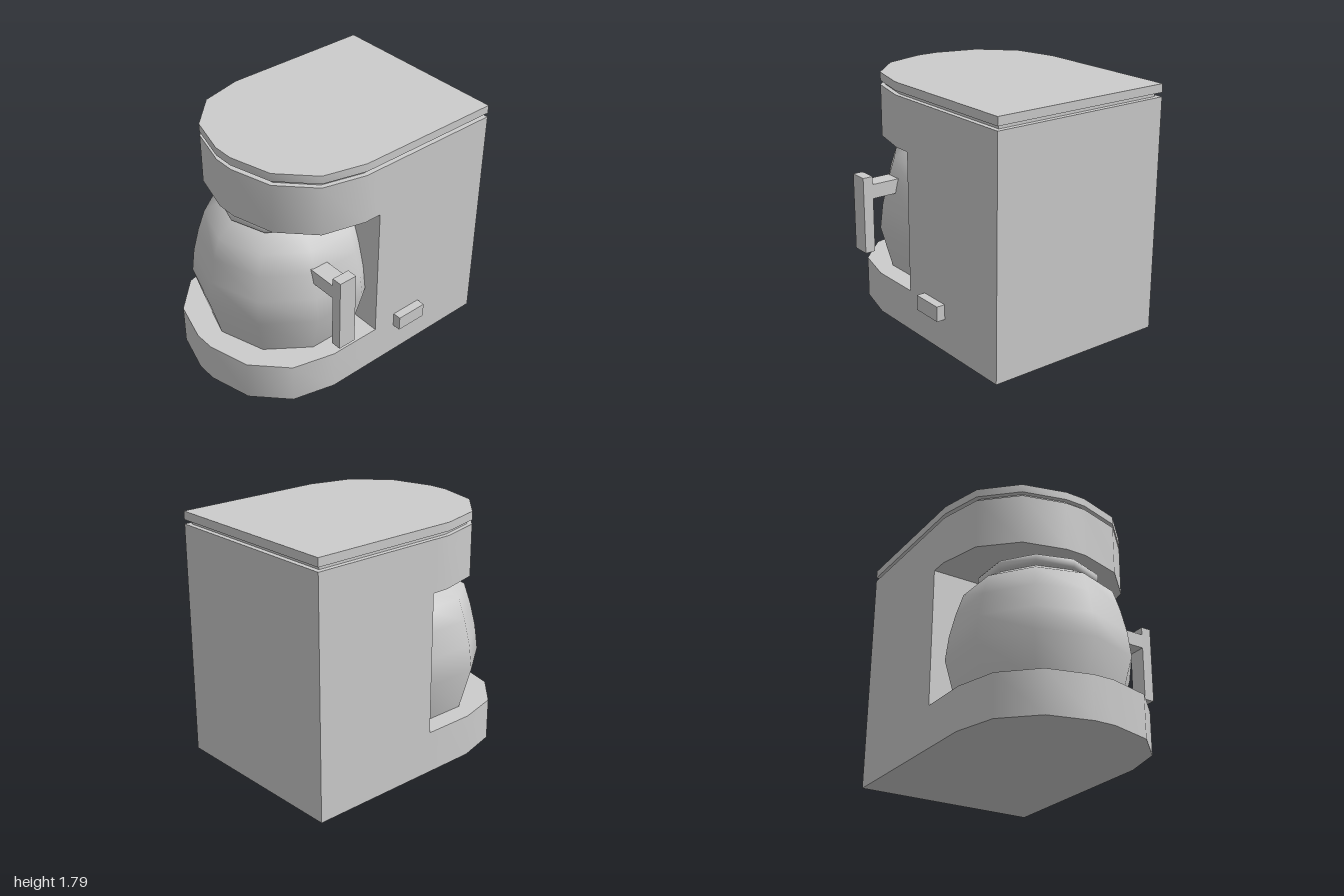
import * as THREE from 'three';
import { toCreasedNormals } from 'three/addons/utils/BufferGeometryUtils.js';

const material = new THREE.MeshStandardMaterial({ color: 0xcccccc });
const CX = -0.077; // centre line of the housing

function add(group, name, geometry) {
  const mesh = new THREE.Mesh(geometry, material);
  mesh.name = name;
  group.add(mesh);
  return mesh;
}

// Slab with a square back and a faceted round front, between two heights
function slab(frontZ, y0, y1, inset = 0) {
  const half = [[0.077, 0], [0.387, 0.085], [0.617, 0.31], [0.695, 0.62]]
    .map(([x, drop]) => [x - inset * x / 0.695, frontZ - drop - inset * (1 - drop / 0.62)]);
  half.push([0.695 - inset, 0], [0.695 - inset, -1 + inset]);
  const mirrored = half.map(([x, z]) => [-x, z]).reverse();
  const outline = [...half, ...mirrored].map(([x, z]) => new THREE.Vector2(x + CX, -z));
  const geometry = new THREE.ExtrudeGeometry(new THREE.Shape(outline), { depth: y1 - y0, bevelEnabled: false });
  geometry.rotateX(-Math.PI / 2).translate(0, y0, 0);
  return toCreasedNormals(geometry, 0.7);
}

// Box from its minimum and maximum corners
function box(x0, x1, y0, y1, z0, z1) {
  return new THREE.BoxGeometry(x1 - x0, y1 - y0, z1 - z0)
    .translate((x0 + x1) / 2, (y0 + y1) / 2, (z0 + z1) / 2);
}

// Ten-sided turned form
function turned(profile) {
  return new THREE.LatheGeometry(profile.map(([r, y]) => new THREE.Vector2(r, y)), 10);
}

export function createModel() {
  const model = new THREE.Group();
  model.name = 'coffeeMaker';

  // Housing
  add(model, 'base', slab(1, 0, 0.307));
  add(model, 'backColumn', box(CX - 0.695, CX + 0.695, 0.307, 1.33, -1, -0.01));
  add(model, 'brewHead', slab(0.74, 1.33, 1.7));
  add(model, 'lidNeck', slab(0.74, 1.7, 1.73, 0.035));
  add(model, 'lid', slab(0.74, 1.73, 1.79));

  // Jug, its back sunk into the column
  const jug = new THREE.Group();
  jug.name = 'jug';
  jug.position.set(CX, 0, 0.27);
  add(jug, 'jugBody', turned([
    [0.575, 0.308], [0.66, 0.62], [0.638, 0.8], [0.595, 0.98], [0.545, 1.135], [0.405, 1.225],
  ]));
  add(jug, 'jugRim', turned([
    [0.36, 1.222], [0.41, 1.222], [0.432, 1.232], [0.443, 1.25], [0.443, 1.28],
    [0.432, 1.297], [0.41, 1.307], [0.36, 1.307], [0, 1.307],
  ]));
  model.add(jug);

  // Handle
  const handle = new THREE.Group();
  handle.name = 'jugHandle';
  add(handle, 'handleArm', box(0.42, 0.69, 0.915, 1.02, 0.33, 0.465));
  add(handle, 'handleGrip', box(0.69, 0.767, 0.515, 1.08, 0.33, 0.465));
  model.add(handle);

  // Power switch
  add(model, 'powerSwitch', box(0.6, 0.682, 0.245, 0.355, -0.43, -0.19));

  return model;
}
